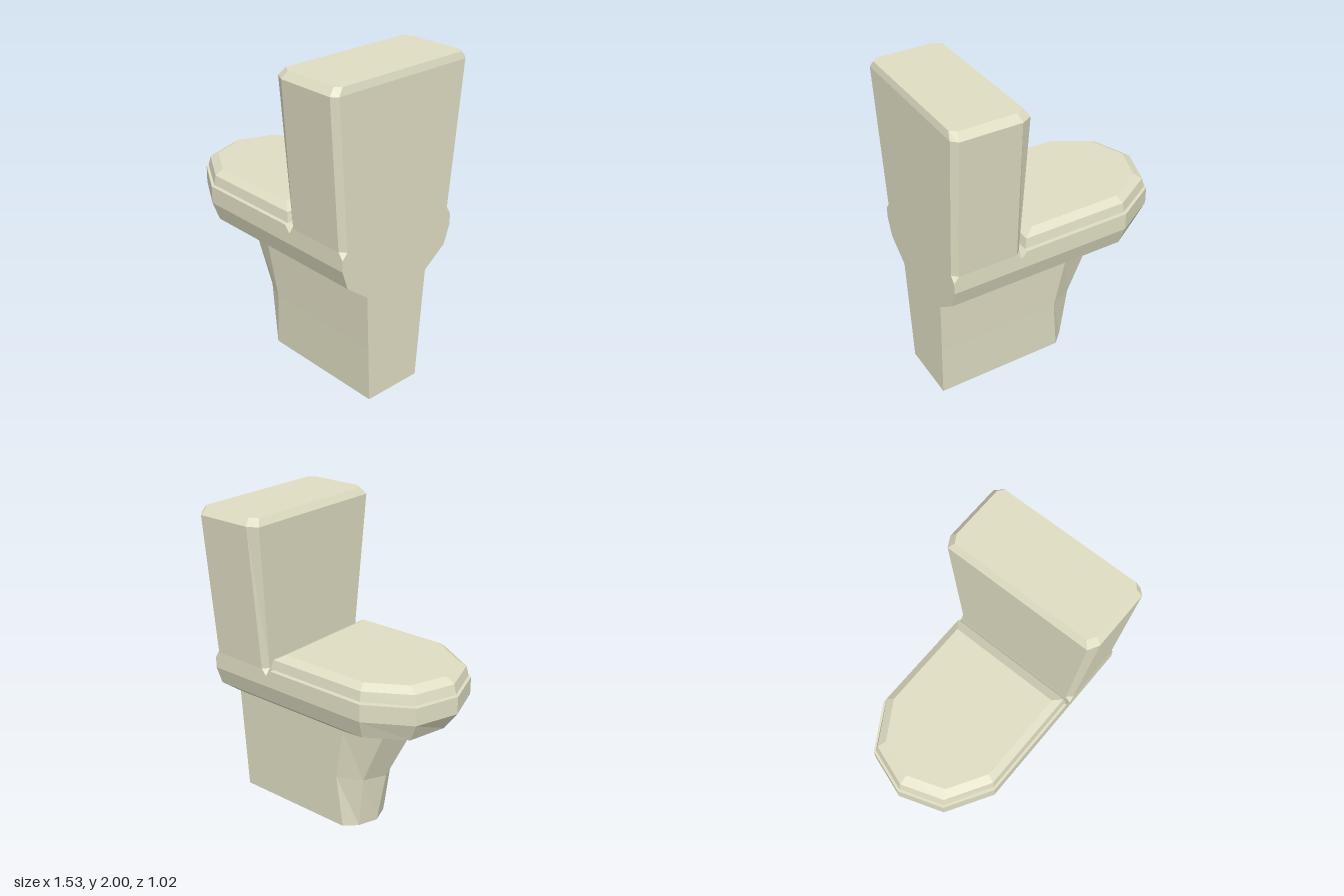
import * as THREE from 'three';

const ceramic = new THREE.MeshStandardMaterial({ color: 0xdfddc2, flatShading: true });

// Outline with a pointed nose toward -x: [y, tip, shoulder, shoulderZ, mid, halfWidth, back]
function noseRing([y, tip, shoulder, sz, mid, w, back]) {
  return [[back, w], [mid, w], [shoulder, sz], [tip, 0], [shoulder, -sz], [mid, -w], [back, -w]]
    .map(([x, z]) => new THREE.Vector3(x, y, z));
}

// Rectangle with cut corners: [y, frontX, frontCutX, backCutX, backX, halfWidth, cutZ]
function tankRing([y, x0, x1, x2, x3, w, c]) {
  return [[x3, c], [x2, w], [x1, w], [x0, c], [x0, -c], [x1, -w], [x2, -w], [x3, -c]]
    .map(([x, z]) => new THREE.Vector3(x, y, z));
}

// Faceted skin through rings listed from bottom to top
function loft(name, rings, capBottom, capTop) {
  const pos = [];
  const tri = (a, b, c) => {
    if (a.equals(b) || b.equals(c) || a.equals(c)) return;
    for (const p of [a, b, c]) pos.push(p.x, p.y, p.z);
  };
  const n = rings[0].length;
  for (let k = 0; k < rings.length - 1; k++) {
    const lo = rings[k], hi = rings[k + 1];
    for (let i = 0; i < n; i++) {
      const j = (i + 1) % n;
      tri(lo[i], hi[i], hi[j]);
      tri(lo[i], hi[j], lo[j]);
    }
  }
  const bottom = rings[0], top = rings[rings.length - 1];
  for (let i = 1; i < n - 1; i++) {
    if (capBottom) tri(bottom[0], bottom[i], bottom[i + 1]);
    if (capTop) tri(top[0], top[i + 1], top[i]);
  }
  const geo = new THREE.BufferGeometry();
  geo.setAttribute('position', new THREE.Float32BufferAttribute(pos, 3));
  geo.computeVertexNormals();
  const mesh = new THREE.Mesh(geo, ceramic);
  mesh.name = name;
  return mesh;
}

export function createModel() {
  const group = new THREE.Group();
  group.name = 'toilet';

  // Foot flaring into the bowl
  group.add(loft('pedestalAndBowl', [
    [0, -0.19, -0.145, 0.125, -0.07, 0.197, 0.763],
    [0.355, -0.26, -0.19, 0.14, -0.037, 0.217, 0.763],
    [0.715, -0.445, -0.35, 0.15, -0.11, 0.238, 0.763],
    [0.832, -0.68, -0.62, 0.245, -0.385, 0.393, 0.763],
    [0.95, -0.767, -0.674, 0.27, -0.4, 0.434, 0.763],
    [1.02, -0.767, -0.674, 0.27, -0.4, 0.434, 0.763],
  ].map(noseRing), true, false));

  // Rim, its back edge sloping into the groove before the tank
  group.add(loft('rim', [
    [1.02, -0.767, -0.674, 0.27, -0.4, 0.434, 0.327],
    [1.06, -0.767, -0.674, 0.27, -0.4, 0.434, 0.29],
  ].map(noseRing), false, true));

  // Closed lid, just clear of the rim
  group.add(loft('lid', [
    [1.07, -0.753, -0.662, 0.262, -0.393, 0.42, 0.297],
    [1.13, -0.737, -0.648, 0.255, -0.388, 0.41, 0.283],
    [1.165, -0.68, -0.6, 0.227, -0.37, 0.366, 0.22],
  ].map(noseRing), true, true));

  // Tank: square foot, chamfered corners, bevelled top
  group.add(loft('tank', [
    [1.02, 0.327, 0.327, 0.763, 0.763, 0.434, 0.434],
    [1.06, 0.327, 0.36, 0.73, 0.763, 0.434, 0.4],
    [1.957, 0.295, 0.36, 0.73, 0.763, 0.51, 0.475],
    [2, 0.321, 0.373, 0.72, 0.753, 0.475, 0.445],
  ].map(tankRing), false, true));

  return group;
}
